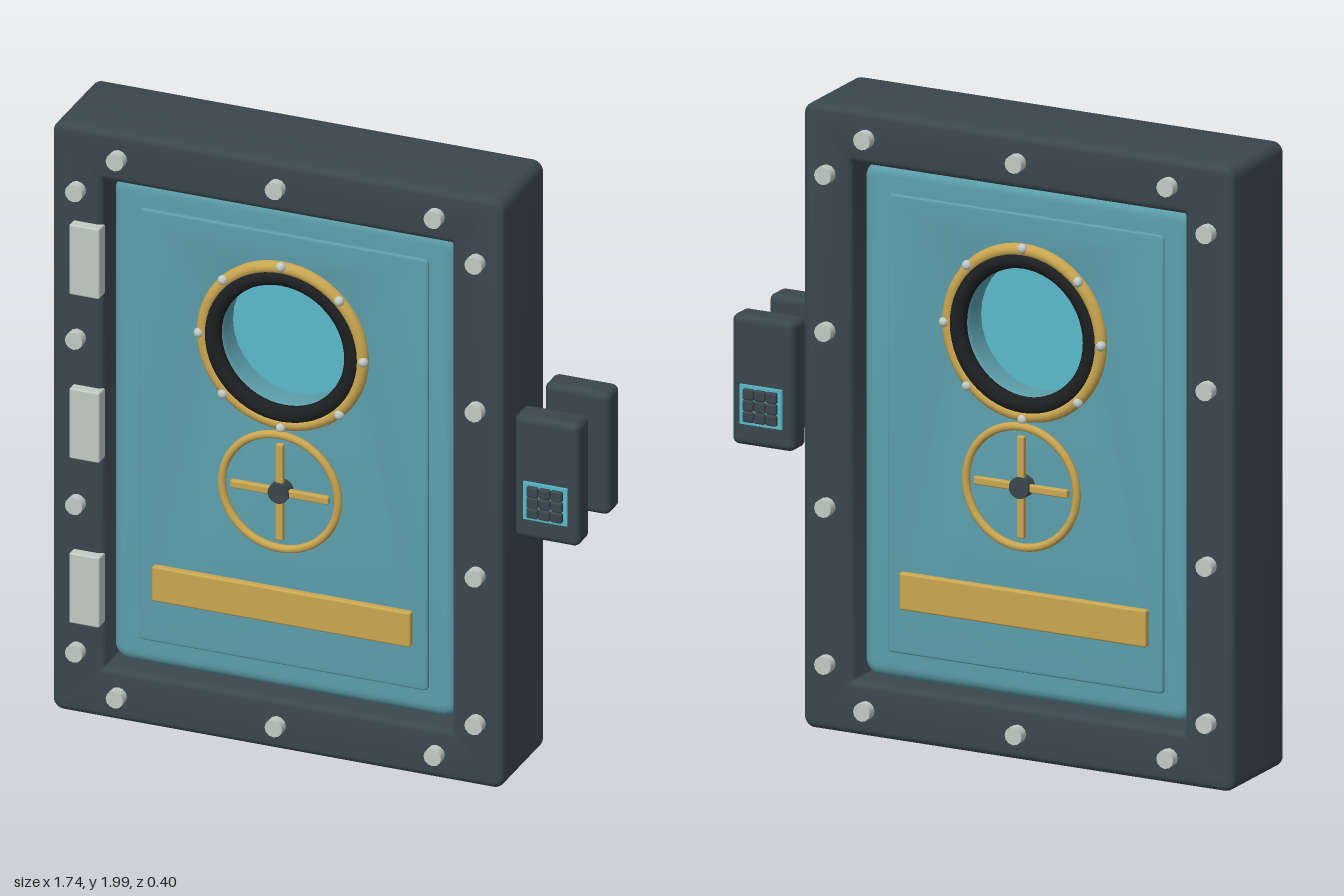
import * as THREE from 'three';
import { toCreasedNormals } from 'three/addons/utils/BufferGeometryUtils.js';
import { RoundedBoxGeometry } from 'three/addons/geometries/RoundedBoxGeometry.js';

const mat = (name, color) => {
  const m = new THREE.MeshStandardMaterial({ color });
  m.name = name;
  return m;
};

function roundedRect(target, w, h, r) {
  const x = w / 2, y = h / 2;
  target.moveTo(-x + r, -y);
  target.lineTo(x - r, -y);
  target.absarc(x - r, -y + r, r, -Math.PI / 2, 0);
  target.lineTo(x, y - r);
  target.absarc(x - r, y - r, r, 0, Math.PI / 2);
  target.lineTo(-x + r, y);
  target.absarc(-x + r, y - r, r, Math.PI / 2, Math.PI);
  target.lineTo(-x, -y + r);
  target.absarc(-x + r, -y + r, r, Math.PI, Math.PI * 1.5);
  return target;
}

// Plate with a hole and soft edges, centred in depth
function plate(w, h, r, hole, depth, bevel, curveSegments) {
  const shape = roundedRect(new THREE.Shape(), w, h, r);
  shape.holes.push(hole);
  const geo = new THREE.ExtrudeGeometry(shape, {
    depth: depth - 2 * bevel, bevelEnabled: true, bevelSize: bevel,
    bevelThickness: bevel, bevelOffset: -bevel, bevelSegments: 4, curveSegments,
  });
  geo.translate(0, 0, bevel - depth / 2);
  return toCreasedNormals(geo, 0.6);
}

export function createModel() {
  const steel = mat('dark steel', 0x3a474d);
  const teal = mat('teal paint', 0x5b9daa);
  const glass = mat('window glass', 0x5bbacb);
  const brass = mat('brass', 0xc9a650);
  const pale = mat('pale metal', 0xc0cac5);
  const rubber = mat('black rubber', 0x1d1f20);

  const model = new THREE.Group();
  model.name = 'bulkheadDoor';
  const add = (parent, name, geo, material, x = 0, y = 0, z = 0) => {
    const mesh = new THREE.Mesh(geo, material);
    mesh.name = name;
    mesh.position.set(x, y, z);
    parent.add(mesh);
    return mesh;
  };
  const CX = -0.125, CY = 1.005;   // door centre
  const PORT = 1.36, WHEEL = 0.875; // heights of porthole and wheel
  const portHole = r => new THREE.Path().absarc(0, PORT - CY, r, 0, Math.PI * 2);

  // Frame and door leaf
  const opening = roundedRect(new THREE.Path(), 1.15, 1.65, 0.004);
  add(model, 'frame', plate(1.49, 1.99, 0.035, opening, 0.335, 0.02, 6), steel, CX, CY);
  add(model, 'doorLeaf', plate(1.138, 1.636, 0.05, portHole(0.212), 0.22, 0.035, 16), teal, CX, CY);

  // Porthole glass
  const pane = new THREE.CylinderGeometry(0.214, 0.214, 0.02, 48).rotateX(Math.PI / 2);
  add(model, 'portholeGlass', pane, glass, CX, PORT, 0);

  // Hinges on the front
  for (const y of [0.447, 1.005, 1.56]) {
    add(model, 'hinge', new RoundedBoxGeometry(0.1, 0.238, 0.05, 2, 0.006), pale, -0.75, y, 0.175);
  }

  // Shared geometry
  const boltGeo = new THREE.CylinderGeometry(0.029, 0.029, 0.05, 12).rotateX(Math.PI / 2);
  const studGeo = new THREE.SphereGeometry(0.016, 12, 8);
  const panelGeo = plate(0.955, 1.46, 0.015, portHole(0.24), 0.02, 0.006, 16);
  const bolts = [];
  for (const x of [-0.525, 0, 0.525]) for (const y of [0.095, 1.915]) bolts.push([x, y]);
  for (const x of [-0.66, 0.66]) for (const y of [0.225, 0.725, 1.285, 1.785]) bolts.push([x, y]);

  // Fittings repeated on both faces
  for (const back of [false, true]) {
    const face = new THREE.Group();
    face.name = back ? 'backFittings' : 'frontFittings';
    face.position.x = CX;
    face.rotation.y = back ? Math.PI : 0;
    model.add(face);

    for (const [x, y] of bolts) add(face, 'frameBolt', boltGeo, pale, x, y, 0.174);
    add(face, 'raisedPanel', panelGeo, teal, 0, CY, 0.11);

    // Porthole rings and studs
    add(face, 'portholeRing', new THREE.TorusGeometry(0.263, 0.021, 12, 56), brass, 0, PORT, 0.122);
    add(face, 'portholeSeal', new THREE.TorusGeometry(0.231, 0.027, 12, 56), rubber, 0, PORT, 0.122);
    for (let i = 0; i < 8; i++) {
      const a = i * Math.PI / 4;
      add(face, 'portholeStud', studGeo, pale, 0.272 * Math.cos(a), PORT + 0.272 * Math.sin(a), 0.138);
    }

    // Hand wheel
    const wheel = new THREE.Group();
    wheel.name = 'handWheel';
    wheel.position.set(0, WHEEL, 0.145);
    face.add(wheel);
    add(wheel, 'wheelRim', new THREE.TorusGeometry(0.192, 0.013, 10, 48), brass);
    add(wheel, 'wheelSpokeAcross', new RoundedBoxGeometry(0.325, 0.025, 0.02, 2, 0.005), brass);
    add(wheel, 'wheelSpokeUpright', new RoundedBoxGeometry(0.025, 0.325, 0.02, 2, 0.005), brass);
    add(wheel, 'wheelHub', new THREE.CylinderGeometry(0.034, 0.034, 0.05, 20).rotateX(Math.PI / 2), steel, 0, 0, -0.007);

    // Kick plate
    add(face, 'kickPlate', new RoundedBoxGeometry(0.855, 0.118, 0.03, 2, 0.007), brass, 0, 0.48, 0.125);

    // Wall keypad beside the frame
    const keypad = new THREE.Group();
    keypad.name = back ? 'backKeypad' : 'frontKeypad';
    keypad.position.set(0.7625, 1.083, 0);
    keypad.rotation.y = back ? Math.PI : 0;
    model.add(keypad);
    add(keypad, 'keypadBody', new RoundedBoxGeometry(0.215, 0.415, 0.092, 4, 0.022), steel, 0, 0, 0.12);
    add(keypad, 'keyBacking', new THREE.BoxGeometry(0.146, 0.126, 0.009), glass, 0, -0.073, 0.169);
    for (let i = 0; i < 9; i++) {
      add(keypad, 'key', new RoundedBoxGeometry(0.038, 0.034, 0.022, 2, 0.006), steel,
        (i % 3 - 1) * 0.04, -0.073 + (Math.floor(i / 3) - 1) * 0.036, 0.175);
    }
  }
  return model;
}
